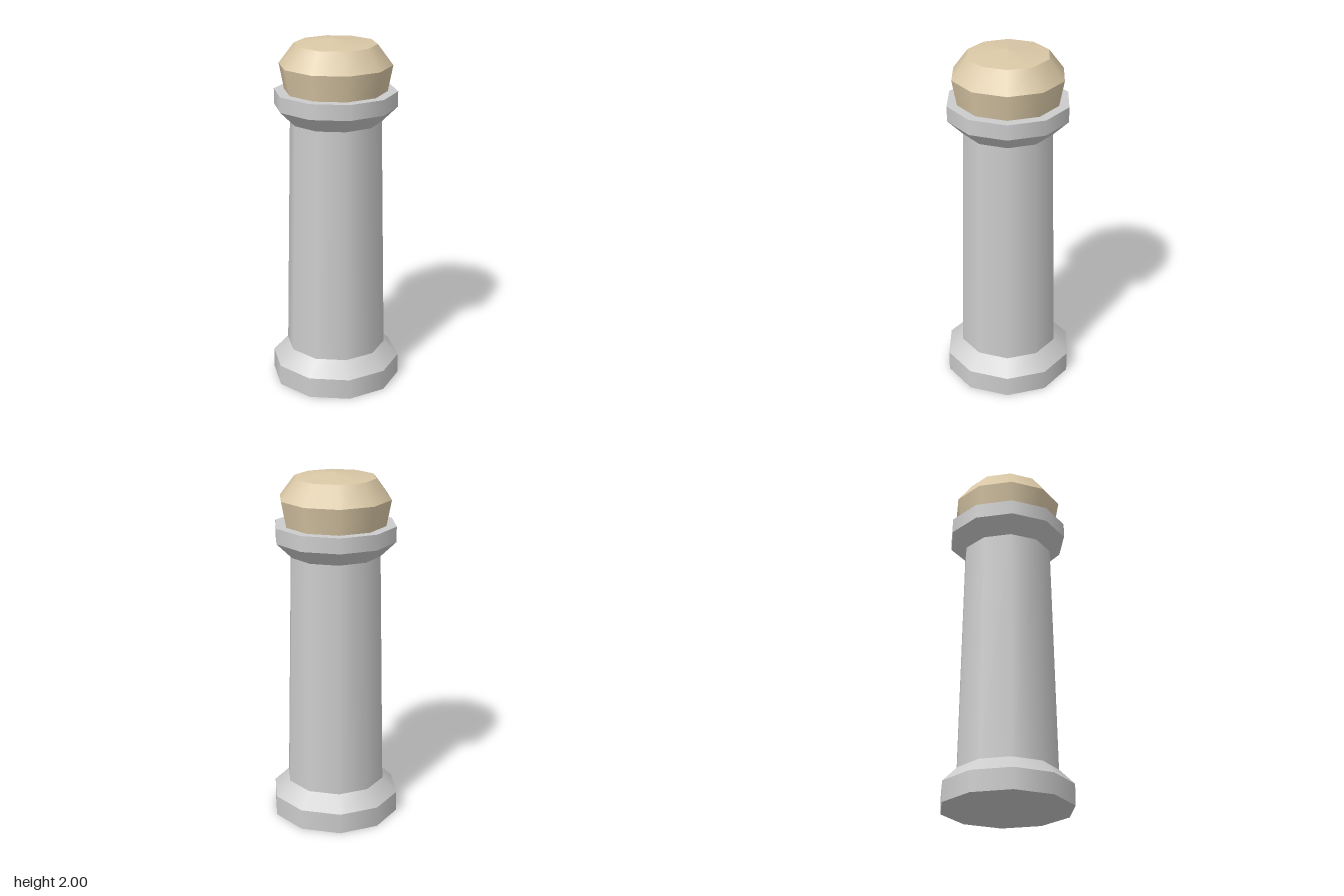
import * as THREE from 'three';

const SIDES = 10;

export function createModel() {
  const stone = new THREE.MeshStandardMaterial({ name: 'grey stone', color: 0xcccccc });
  const tan = new THREE.MeshStandardMaterial({ name: 'tan cap', color: 0xdac8a6 });

  const model = new THREE.Group();
  model.name = 'bollard';

  // One ten-sided band, smooth around its axis, with a corner on the x axis
  function band(parent, name, material, y0, r0, y1, r1) {
    const geometry = new THREE.CylinderGeometry(r1, r0, y1 - y0, SIDES, 1, true, Math.PI / 2);
    const mesh = new THREE.Mesh(geometry, material);
    mesh.name = name;
    mesh.position.y = (y0 + y1) / 2;
    parent.add(mesh);
  }

  // Flat ten-sided end face
  function disc(parent, name, material, y, r, up) {
    const mesh = new THREE.Mesh(new THREE.CircleGeometry(r, SIDES), material);
    mesh.name = name;
    mesh.rotation.x = up ? -Math.PI / 2 : Math.PI / 2;
    mesh.position.y = y;
    parent.add(mesh);
  }

  function part(name) {
    const group = new THREE.Group();
    group.name = name;
    model.add(group);
    return group;
  }

  // Foot with sloped shoulder
  const foot = part('foot');
  disc(foot, 'footUnderside', stone, 0, 0.37, false);
  band(foot, 'footRim', stone, 0, 0.37, 0.118, 0.37);
  band(foot, 'footShoulder', stone, 0.118, 0.37, 0.203, 0.285);

  // Tapered shaft
  band(model, 'shaft', stone, 0.203, 0.285, 1.545, 0.256);

  // Flared collar
  const collar = part('collar');
  band(collar, 'collarFlare', stone, 1.545, 0.256, 1.63, 0.343);
  band(collar, 'collarRim', stone, 1.63, 0.343, 1.716, 0.343);
  disc(collar, 'collarTop', stone, 1.716, 0.343, true);

  // Faceted cap with a shallow point
  const cap = part('cap');
  band(cap, 'capLower', tan, 1.716, 0.286, 1.86, 0.314);
  band(cap, 'capUpper', tan, 1.86, 0.314, 1.973, 0.229);
  band(cap, 'capPoint', tan, 1.973, 0.229, 2, 0);

  return model;
}
